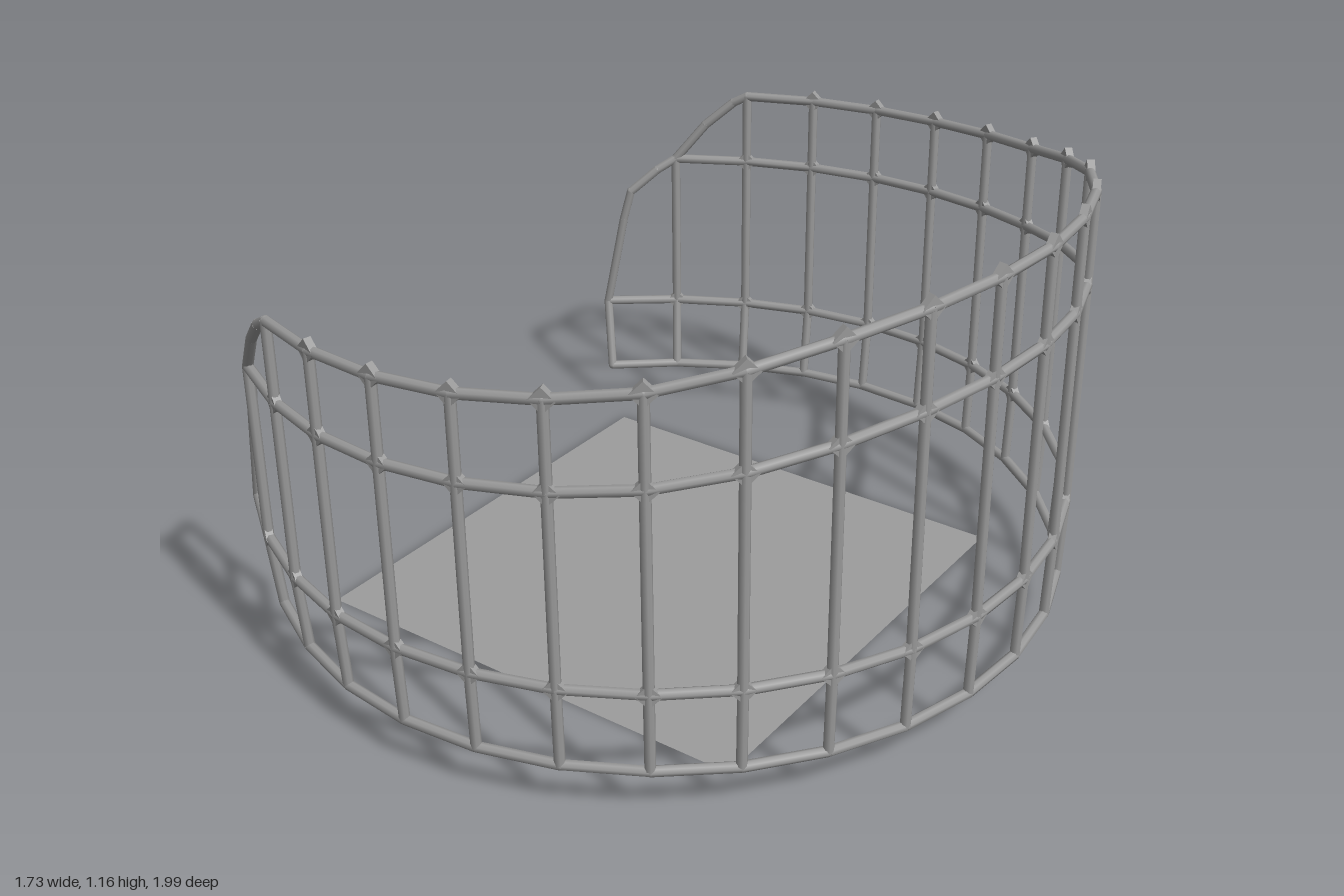
import * as THREE from 'three';

const RING_X = -0.125, RING_R = 0.983, STEP = Math.PI / 16, BAR = 0.0125;
// Rail heights by post number, counted from the middle post outwards
const TOP = [1.133, 1.13, 1.117, 1.092, 1.052, 1.012, 0.988, 0.971, 0.961, 0.955, 0.95];
const MID = [0.91, 0.906, 0.892, 0.866, 0.833, 0.803, 0.785, 0.773, 0.765, 0.76, 0.757, 0.755];
const BASE_Y = 0.122;
const lowY = (n) => 0.33 - 0.0017 * n;

// Plan position of post k (-12..12); the two end posts flare outwards
function plan(k, y) {
  const n = Math.abs(k), s = Math.sign(k);
  if (n === 12) return new THREE.Vector3(-0.85, y, s * 0.697);
  if (n === 11) return new THREE.Vector3(-0.685, y, s * 0.817);
  return new THREE.Vector3(RING_X + RING_R * Math.cos(k * STEP), y, RING_R * Math.sin(k * STEP));
}

// The bottom rail is tucked inwards, more so towards the back end
function basePoint(k) {
  const p = plan(k, BASE_Y);
  const inset = 0.006 + (k < 0 ? 0.0034 : 0.001) * Math.max(0, Math.abs(k) - 6) ** 1.5;
  const out = new THREE.Vector3(p.x - RING_X, 0, p.z).normalize();
  return p.addScaledVector(out, -inset);
}

export function createModel() {
  const model = new THREE.Group();
  const steel = new THREE.MeshStandardMaterial({ color: 0x9a9a9a });
  steel.name = 'steel grey';
  const plateGrey = new THREE.MeshStandardMaterial({ color: 0x9d9d9d, side: THREE.DoubleSide });
  plateGrey.name = 'plate grey';

  const group = (name) => {
    const g = new THREE.Group();
    g.name = name;
    model.add(g);
    return g;
  };

  // Round bar between two points
  function bar(parent, name, a, b) {
    const d = b.clone().sub(a);
    const mesh = new THREE.Mesh(new THREE.CylinderGeometry(BAR, BAR, d.length(), 8), steel);
    mesh.name = name;
    mesh.position.copy(a).add(b).multiplyScalar(0.5);
    mesh.quaternion.setFromUnitVectors(new THREE.Vector3(0, 1, 0), d.normalize());
    parent.add(mesh);
  }

  // Chain of bars with rounded elbows
  function chain(name, points) {
    const g = group(name);
    points.forEach((p, i) => {
      const elbow = new THREE.Mesh(new THREE.SphereGeometry(BAR, 8, 6), steel);
      elbow.name = name + 'Elbow';
      elbow.position.copy(p);
      g.add(elbow);
      if (i) bar(g, name + 'Bar', points[i - 1], p);
    });
  }

  // Diamond gusset that fills the corners of a crossing, lying in the wall
  const joints = group('joints');
  const gusset = new THREE.CylinderGeometry(0.029, 0.029, 0.018, 4).toNonIndexed();
  gusset.computeVertexNormals();
  function joint(p) {
    const out = new THREE.Vector3(p.x - RING_X, 0, p.z).normalize();
    const side = new THREE.Vector3(0, 1, 0).cross(out);
    const mesh = new THREE.Mesh(gusset, steel);
    mesh.name = 'joint';
    mesh.quaternion.setFromRotationMatrix(new THREE.Matrix4().makeBasis(side, out, new THREE.Vector3(0, -1, 0)));
    mesh.position.copy(p);
    joints.add(mesh);
  }

  // Curved horizontal rails
  const rail = (last, at) => {
    const pts = [];
    for (let k = -last; k <= last; k++) pts.push(at(k));
    return pts;
  };
  const rails = {
    bottomRail: rail(12, basePoint),
    lowerRail: rail(12, (k) => plan(k, lowY(Math.abs(k)))),
    middleRail: rail(11, (k) => plan(k, MID[Math.abs(k)])),
    topRail: rail(10, (k) => plan(k, TOP[Math.abs(k)])),
  };
  for (const [name, pts] of Object.entries(rails)) {
    chain(name, pts);
    pts.forEach((p, i) => {
      if (name !== 'bottomRail' && i > 0 && i < pts.length - 1) joint(p);
    });
  }

  // Upright posts, bent where they cross the rails
  const posts = group('posts');
  for (let k = -11; k <= 11; k++) {
    const n = Math.abs(k);
    const pts = [basePoint(k), plan(k, lowY(n)), plan(k, MID[n])];
    if (n <= 10) pts.push(plan(k, TOP[n]));
    for (let i = 1; i < pts.length; i++) bar(posts, 'post', pts[i - 1], pts[i]);
  }

  // Stepped end frames running from the top rail down to the bottom rail
  for (const s of [-1, 1]) {
    chain(s > 0 ? 'frontEndFrame' : 'backEndFrame', [
      plan(10 * s, TOP[10]),
      new THREE.Vector3(-0.54, 0.928, s * 0.897),
      new THREE.Vector3(-0.61, 0.86, s * 0.86),
      plan(11 * s, MID[11]),
      new THREE.Vector3(-0.725, 0.723, s * 0.78),
      new THREE.Vector3(-0.783, 0.66, s * 0.73),
      new THREE.Vector3(-0.803, 0.575, s * 0.72),
      plan(12 * s, lowY(12)),
      basePoint(12 * s),
    ]);
  }

  // Square floor plate
  const floor = new THREE.Mesh(new THREE.PlaneGeometry(1.19, 1.19), plateGrey);
  floor.name = 'floorPlate';
  floor.rotation.x = -Math.PI / 2;
  floor.position.set(-0.125, 0, 0.003);
  model.add(floor);

  return model;
}
